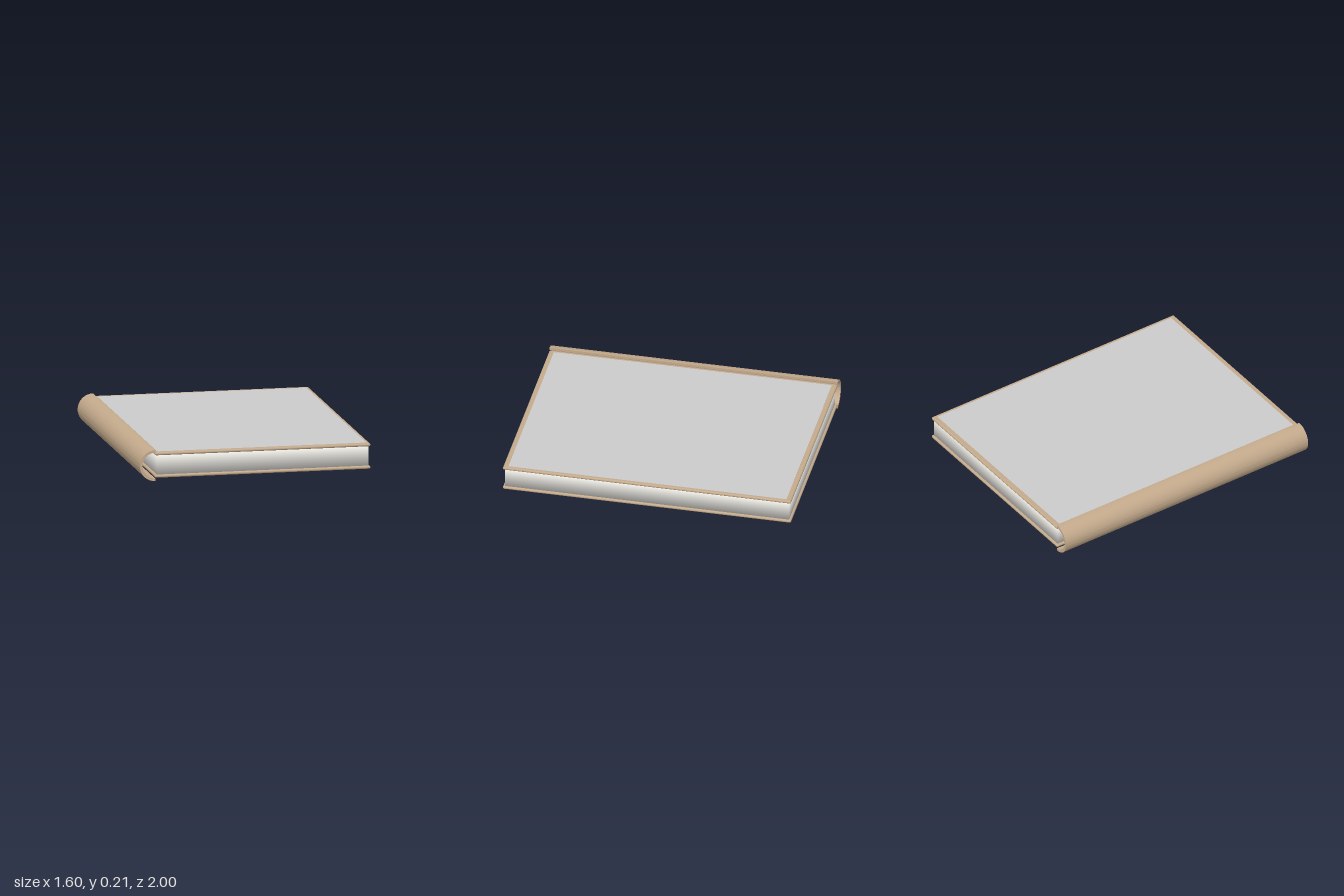
import * as THREE from 'three';
import { RoundedBoxGeometry } from 'three/addons/geometries/RoundedBoxGeometry.js';
import { mergeVertices, toCreasedNormals } from 'three/addons/utils/BufferGeometryUtils.js';

const leather = new THREE.MeshStandardMaterial({ color: 0xc4aa8c });
const paper = new THREE.MeshStandardMaterial({ color: 0xf0eee8 });
const grey = new THREE.MeshStandardMaterial({ color: 0xcccccc });

const MID = 0.109; // height of the book's middle plane

export function createModel() {
  const book = new THREE.Group();
  book.name = 'book';

  function add(name, geometry, material, x, y, z = 0) {
    const mesh = new THREE.Mesh(geometry, material);
    mesh.name = name;
    mesh.position.set(x, y, z);
    book.add(mesh);
  }

  // Cover boards with softly rounded edges
  const board = new RoundedBoxGeometry(1.495, 0.021, 2, 3, 0.01);
  add('frontCover', board, leather, 0.0525, MID + 0.0775);
  add('backCover', board, leather, 0.0525, MID - 0.0775);

  // Thin panel set into the front cover
  add('coverPanel', new THREE.BoxGeometry(1.45, 0.004, 1.93), grey, 0.053, MID + 0.0868);

  // Page block, shaded smoothly around its edges
  let pages = new THREE.BoxGeometry(1.468, 0.136, 1.97);
  pages.deleteAttribute('normal');
  pages.deleteAttribute('uv');
  pages = mergeVertices(pages);
  pages.computeVertexNormals();
  add('pages', pages, paper, 0.054, MID);

  // Half-round hollow spine, open towards the pages
  const profile = new THREE.Shape();
  profile.absarc(0, 0, 0.107, Math.PI / 2, Math.PI * 1.5, false);
  profile.absarc(0, 0, 0.089, Math.PI * 1.5, Math.PI / 2, true);
  profile.closePath();
  const spine = new THREE.ExtrudeGeometry(profile, { depth: 2, bevelEnabled: false, curveSegments: 24 });
  add('spine', toCreasedNormals(spine, 0.6), leather, -0.694, 0.107, -1);

  return book;
}
